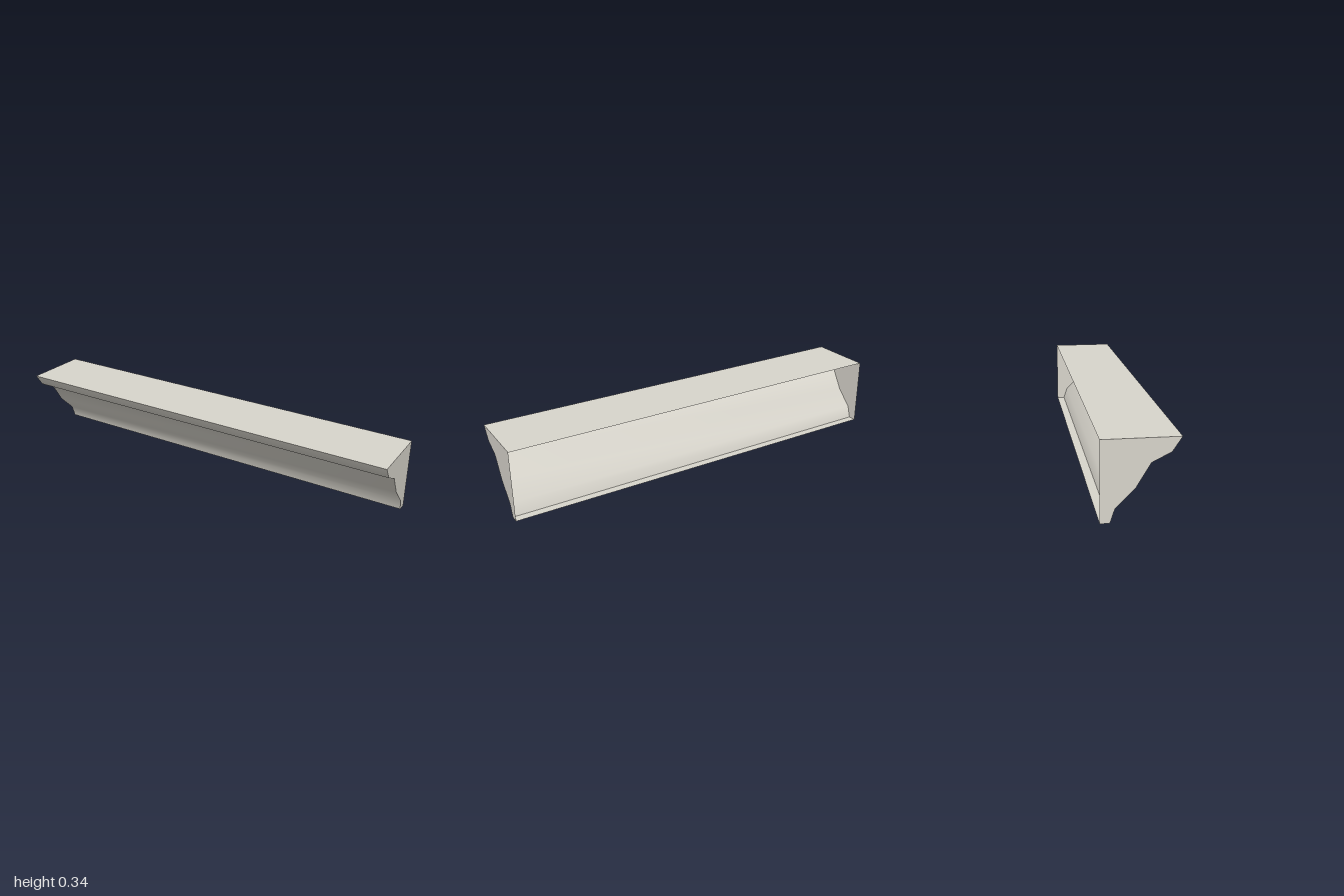
import * as THREE from 'three';

// Moulding profile as [z, y], from the top lip down to the foot
const PROFILE = [
  [0.16, 0.34], [0.12, 0.28], [0.04, 0.24],
  [-0.02, 0.14], [-0.10, 0.06], [-0.12, 0],
];
const BACK = -0.16;
const LENGTH = 2;

export function createModel() {
  const group = new THREE.Group();
  group.name = 'corniceMoulding';

  const stone = new THREE.MeshStandardMaterial({ color: 0xd8d5cc, side: THREE.DoubleSide });
  stone.name = 'warmGreyStone';

  const add = (name, geometry) => {
    const mesh = new THREE.Mesh(geometry, stone);
    mesh.name = name;
    group.add(mesh);
    return mesh;
  };

  // Smoothly shaded front: each row of a plane is moved onto a profile point
  const front = new THREE.PlaneGeometry(LENGTH, 1, 1, PROFILE.length - 1);
  const pos = front.attributes.position;
  for (let i = 0; i < pos.count; i++) {
    const [z, y] = PROFILE[Math.floor(i / 2)];
    pos.setY(i, y);
    pos.setZ(i, z);
  }
  front.computeVertexNormals();
  add('mouldedFront', front);

  // Flat top and foot; the back stays open
  const slab = (name, [z, y], tilt) => {
    const geometry = new THREE.PlaneGeometry(LENGTH, z - BACK);
    geometry.rotateX(tilt);
    geometry.translate(0, y, (z + BACK) / 2);
    add(name, geometry);
  };
  slab('topFace', PROFILE[0], -Math.PI / 2);
  slab('footFace', PROFILE[PROFILE.length - 1], Math.PI / 2);

  // End caps, each facing outwards
  for (const side of [1, -1]) {
    const outline = [...PROFILE, [BACK, 0], [BACK, PROFILE[0][1]]];
    const shape = new THREE.Shape(outline.map(([z, y]) => new THREE.Vector2(-side * z, y)));
    const cap = new THREE.ShapeGeometry(shape);
    cap.rotateY(side * Math.PI / 2);
    cap.translate(side * LENGTH / 2, 0, 0);
    add(side > 0 ? 'leftEndCap' : 'rightEndCap', cap);
  }

  return group;
}
